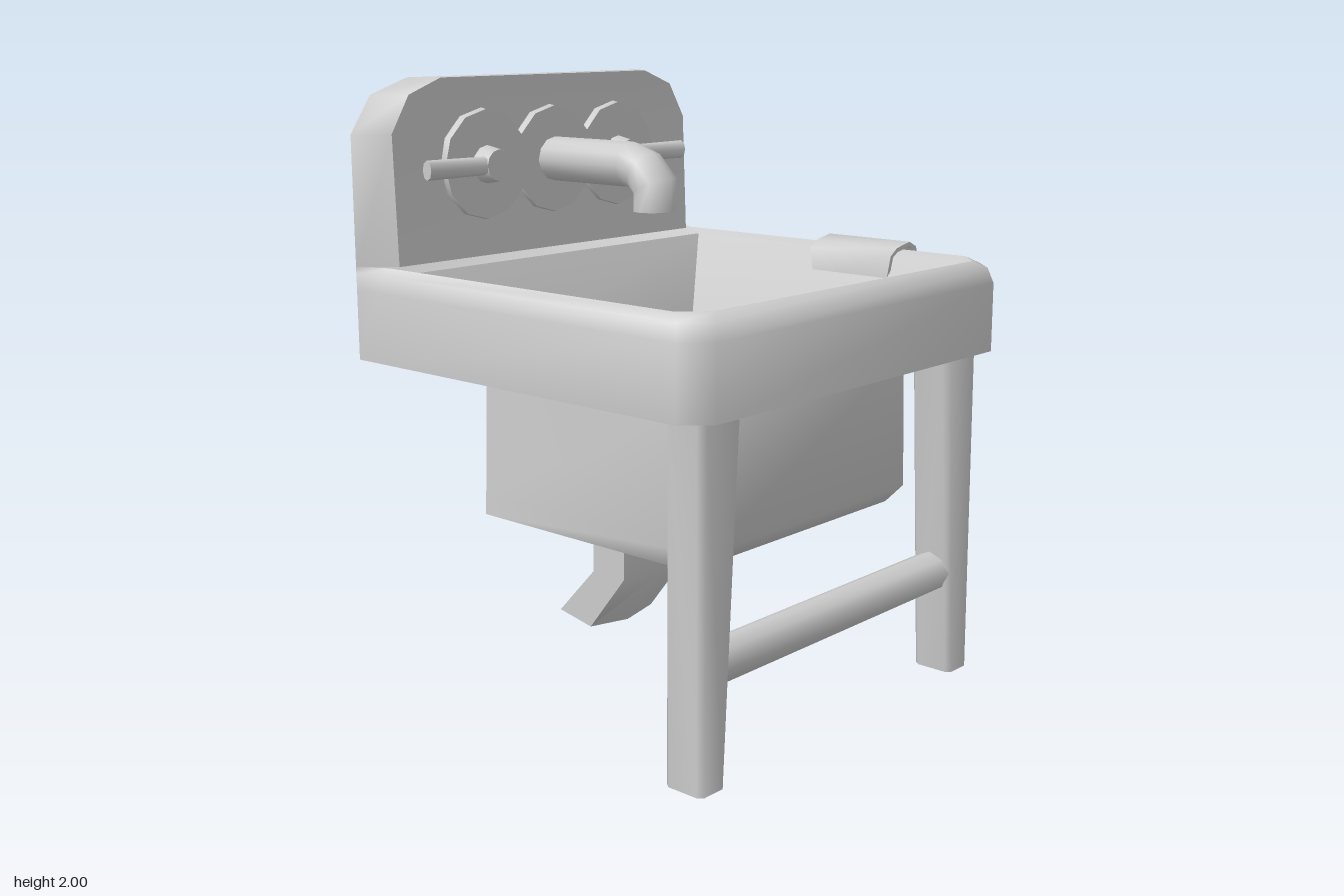
import * as THREE from 'three';
import { toCreasedNormals } from 'three/addons/utils/BufferGeometryUtils.js';

const MID = 0.02; // z of the symmetry plane
const material = new THREE.MeshStandardMaterial({ color: 0xcccccc, side: THREE.DoubleSide });
const V = (x, y, z) => new THREE.Vector3(x, y, z);

function part(name, geometry, parent) {
  const mesh = new THREE.Mesh(geometry, material);
  mesh.name = name;
  parent.add(mesh);
  return mesh;
}

// Skin between successive rings of points, with optional flat end caps
function loft(rings, { closed = true, capStart = false, capEnd = false, crease = 1.1 } = {}) {
  const n = rings[0].length, pos = [];
  const tri = (...pts) => pts.forEach((p) => pos.push(p.x, p.y, p.z));
  for (let i = 0; i < rings.length - 1; i++) {
    for (let j = 0; j < (closed ? n : n - 1); j++) {
      const k = (j + 1) % n;
      const a = rings[i][j], b = rings[i][k], c = rings[i + 1][j], d = rings[i + 1][k];
      tri(a, b, d);
      tri(a, d, c);
    }
  }
  const cap = (ring, flip) => {
    const m = V(0, 0, 0);
    ring.forEach((p) => m.addScaledVector(p, 1 / n));
    ring.forEach((p, j) => {
      const q = ring[(j + 1) % n];
      if (flip) tri(m, q, p); else tri(m, p, q);
    });
  };
  if (capStart) cap(rings[0], true);
  if (capEnd) cap(rings[rings.length - 1], false);
  const geo = new THREE.BufferGeometry();
  geo.setAttribute('position', new THREE.Float32BufferAttribute(pos, 3));
  return toCreasedNormals(geo, crease);
}

// Horizontal rectangle whose two +x corners are cut by c
function plan(y, x0, x1, half, c) {
  const a = MID + half, b = MID - half;
  return [V(x0, y, a), V(x1 - c, y, a), V(x1, y, a - c), V(x1, y, b + c), V(x1 - c, y, b), V(x0, y, b)];
}

// The same, with two further points at the wall end
const planToWall = (xw, halfWall, y, ...rest) =>
  [V(xw, y, MID + halfWall), ...plan(y, ...rest), V(xw, y, MID - halfWall)];

// Bent pipe in the x-y plane: outer and inner side profiles and a section [across, z]
function duct(outer, inner, halfZ, section) {
  const rings = outer.map(([ox, oy], i) => {
    const [ix, iy] = inner[i];
    return section.map(([u, w]) =>
      V((ox + ix + (ox - ix) * u) / 2, (oy + iy + (oy - iy) * u) / 2, MID + halfZ * w));
  });
  return loft(rings, { capStart: true, capEnd: true });
}

export function createModel() {
  const model = new THREE.Group();
  model.name = 'washSink';

  // Rim: outer skirt (open at the wall side), square at the wall and rounded elsewhere
  const rimRing = (y, inset) => planToWall(-0.722, 0.772, y, -0.62, 0.722 - inset, 0.772 - inset, 0.08);
  const topRing = rimRing(1.413, 0.05);
  part('rimSkirt', loft([rimRing(1.113, 0), rimRing(1.34, 0), rimRing(1.39, 0.015), topRing],
    { closed: false }), model);

  // Rim top and deep bowl, funnelling into the hanging basin
  const bowlRing = (y, x0, x1, half) => planToWall(x0, half, y, x0, x1, half, 0.02);
  part('bowl', loft([topRing, bowlRing(1.4, -0.54, 0.62, 0.67), bowlRing(1.13, -0.415, 0.515, 0.495),
    bowlRing(0.8, -0.36, 0.47, 0.48)], { capEnd: true, crease: 0.9 }), model);

  // Underside of the rim, open where the basin hangs
  part('rimUnderside', loft([
    plan(1.113, -0.42, 0.52, 0.5, 0.02),
    plan(1.113, -0.722, 0.722, 0.772, 0.08),
  ]), model);

  // Hanging basin with its outer bottom edge cut back
  part('basin', loft([
    plan(0.6, -0.42, 0.47, 0.52, 0.05),
    plan(0.66, -0.42, 0.522, 0.517, 0.02),
    plan(1.113, -0.42, 0.522, 0.5, 0.02),
  ], { capStart: true }), model);

  // Splashback: a bevelled shell open towards the wall
  const outline = [[0.772, 1.413], [0.772, 1.83], [0.69, 1.95], [0.54, 2]];
  const splashRing = (x, f) => [
    ...outline.map(([z, y]) => V(x, y, MID + z * f)),
    ...outline.slice().reverse().map(([z, y]) => V(x, y, MID - z * f)),
  ];
  const face = splashRing(-0.63, 0.885);
  face[0].x = face[7].x = -0.615;
  part('splashbackEdge', loft([splashRing(-0.722, 1), face], { closed: false }), model);
  part('splashbackFace', loft([face.slice(0, 4), face.slice(4).reverse()], { closed: false }), model);

  // Tap plates
  for (const [i, z] of [0.33, MID, -0.29].entries()) {
    const plate = part('tapPlate' + (i + 1),
      toCreasedNormals(new THREE.CylinderGeometry(0.18, 0.185, 0.03, 12), 0.6), model);
    plate.rotation.z = -Math.PI / 2;
    plate.position.set(-0.62, 1.715, z);
  }

  // Tap handles: a knob with a lever pointing outward
  for (const s of [1, -1]) {
    const handle = new THREE.Group();
    handle.name = s > 0 ? 'frontTapHandle' : 'backTapHandle';
    handle.position.set(-0.575, 1.715, MID + 0.31 * s);
    const knob = part('knob', toCreasedNormals(new THREE.CylinderGeometry(0.052, 0.063, 0.06, 12), 1.1), handle);
    knob.rotation.z = -Math.PI / 2;
    const lever = part('lever', toCreasedNormals(new THREE.CylinderGeometry(0.032, 0.03, 0.27, 8), 1.1), handle);
    lever.rotation.x = (s * Math.PI) / 2;
    lever.scale.x = 0.65;
    lever.position.set(0.01, 0, 0.155 * s);
    model.add(handle);
  }

  // Spout bending down over the bowl
  const round = Array.from({ length: 12 }, (_, j) => [Math.cos((j * Math.PI) / 6), Math.sin((j * Math.PI) / 6)]);
  part('spout', duct(
    [[-0.62, 1.79], [-0.24, 1.79], [-0.15, 1.76], [-0.07, 1.68], [-0.07, 1.57]],
    [[-0.62, 1.64], [-0.25, 1.64], [-0.225, 1.635], [-0.21, 1.62], [-0.21, 1.57]], 0.078, round), model);

  // Six-sided drain pipe bending back to the wall
  const hexagon = [[1, 0], [0.7, 1], [-0.7, 1], [-1, 0], [-0.7, -1], [0.7, -1]];
  part('drainPipe', duct(
    [[-0.12, 0.62], [-0.12, 0.34], [-0.28, 0.13]],
    [[-0.325, 0.62], [-0.325, 0.34], [-0.49, 0.17]], 0.152, hexagon), model);

  // Tapered legs, straight on the outside, with softened corners
  const legSection = [[1, -0.75], [1, 0.75], [0.75, 1], [-0.75, 1], [-1, 0.75], [-1, -0.75], [-0.75, -1], [0.75, -1]];
  for (const s of [1, -1]) {
    const legRing = (y, inner) => legSection.map(([u, w]) =>
      V(0.592 + 0.072 * u, y, 0.013 + s * ((0.697 + inner) / 2 + ((0.697 - inner) / 2) * w)));
    part(s > 0 ? 'frontLeg' : 'backLeg',
      loft([legRing(0, 0.588), legRing(1.113, 0.512)], { capStart: true }), model);
  }

  // Cross rail between the legs
  const rail = part('crossRail', toCreasedNormals(new THREE.CylinderGeometry(0.068, 0.068, 1.16, 8), 1.1), model);
  rail.rotation.x = Math.PI / 2;
  rail.position.set(0.59, 0.357, 0.013);

  // Cloth draped over the back rim: cross-section [z, y, left x, right x]
  const drape = [[-0.605, 1.2, 0.16, 0.3], [-0.6, 1.28, 0.04, 0.34], [-0.605, 1.4, 0.02, 0.36],
    [-0.64, 1.425, 0.02, 0.36], [-0.715, 1.44, 0.02, 0.36], [-0.755, 1.42, 0.02, 0.36], [-0.79, 1.325, 0.03, 0.35]];
  const clothRings = drape.map(([z, y, x0, x1], i) => {
    const [pz, py] = drape[Math.max(i - 1, 0)], [nz, ny] = drape[Math.min(i + 1, drape.length - 1)];
    const l = Math.hypot(nz - pz, ny - py) / 0.015;
    const dz = (ny - py) / l, dy = -(nz - pz) / l;
    return [V(x0, y, z), V(x1, y, z), V(x1, y - dy, z - dz), V(x0, y - dy, z - dz)];
  });
  part('cloth', loft(clothRings, { capStart: true, capEnd: true }), model);

  return model;
}
